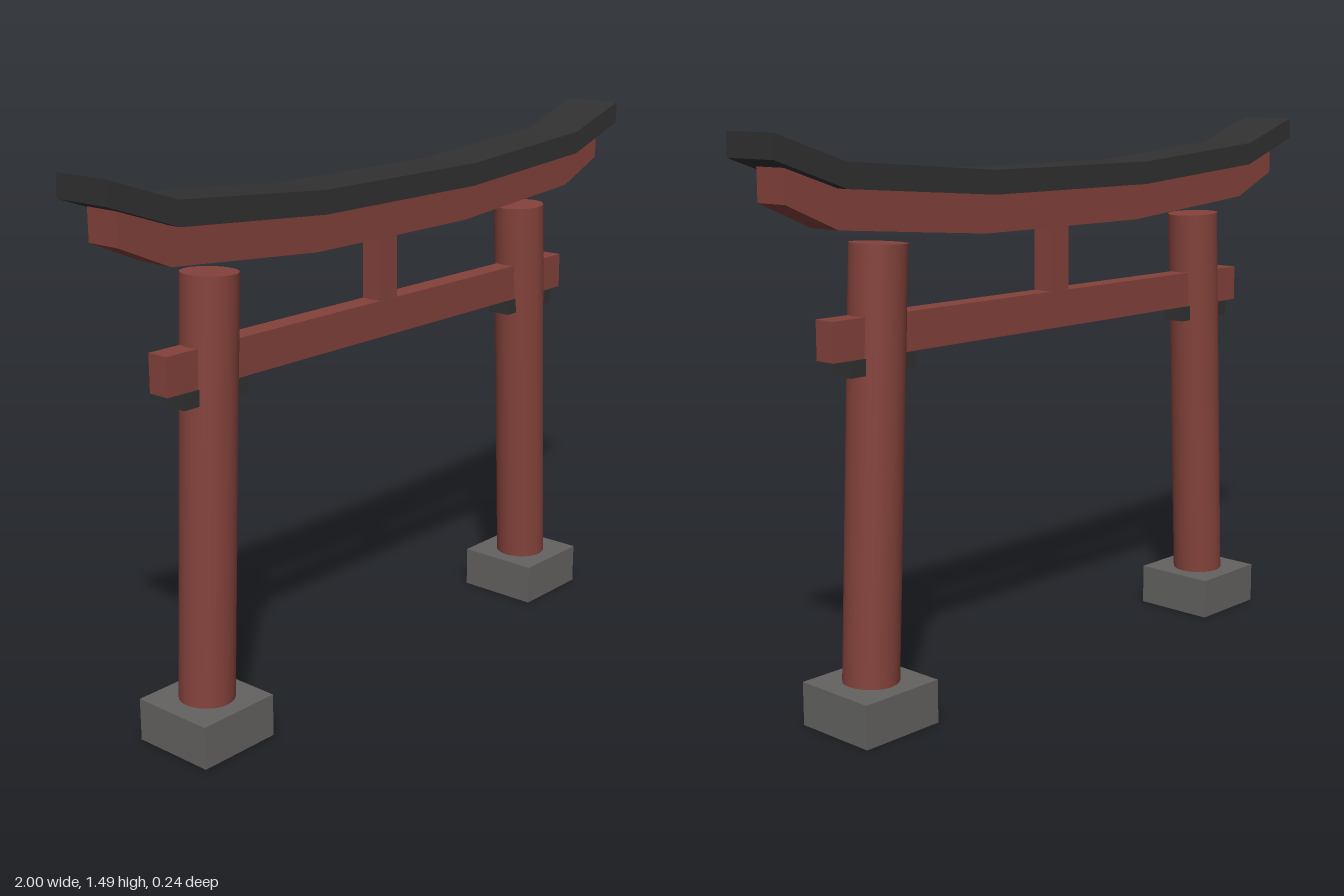
import * as THREE from 'three';

export function createModel() {
  const model = new THREE.Group();
  model.name = 'gate';

  const material = (name, color, side = THREE.FrontSide) =>
    Object.assign(new THREE.MeshStandardMaterial({ color, side }), { name });
  const red = material('red paint', 0x84423b);
  const black = material('black paint', 0x313131);
  const stone = material('grey stone', 0x646361, THREE.DoubleSide);

  const add = (name, geometry, mat, x = 0, y = 0, z = 0) => {
    const mesh = new THREE.Mesh(geometry, mat);
    mesh.name = name;
    mesh.position.set(x, y, z);
    model.add(mesh);
    return mesh;
  };

  // Symmetric upswept beam from right-half outlines, running outwards
  const sweptBeam = (name, bottom, top, depth, mat) => {
    const mirror = ([x, y]) => [-x, y];
    const outline = [
      ...bottom,
      ...[...top].reverse(),
      ...top.map(mirror),
      ...[...bottom].reverse().map(mirror),
    ];
    const shape = new THREE.Shape(outline.map(([x, y]) => new THREE.Vector2(x, y)));
    const geometry = new THREE.ExtrudeGeometry(shape, { depth, bevelEnabled: false });
    geometry.translate(0, 0, -depth / 2);
    return add(name, geometry, mat);
  };

  // Top lintel and the black cap that rests on it
  sweptBeam('upperLintel',
    [[0.3, 1.22], [0.79, 1.26], [0.945, 1.327]],
    [[0.3, 1.32], [0.79, 1.357], [0.945, 1.41]], 0.1, red);
  sweptBeam('lintelCap',
    [[0.3, 1.32], [0.79, 1.357], [1, 1.43]],
    [[0.3, 1.382], [0.79, 1.42], [1, 1.49]], 0.17, black);

  // Straight tie beam and its centre strut
  add('tieBeam', new THREE.BoxGeometry(1.6, 0.1, 0.062), red, 0, 0.995);
  add('centreStrut', new THREE.BoxGeometry(0.07, 0.175, 0.06), red, 0, 1.1325);

  for (const [side, s] of [['left', 1], ['right', -1]]) {
    // Pillar leaning inwards
    const pillar = add(side + 'Pillar',
      new THREE.CylinderGeometry(0.073, 0.073, 1.104, 24), red, s * 0.651, 0.666);
    pillar.rotation.z = s * 0.048;

    // Wedge under the tie beam
    add(side + 'Wedge', new THREE.BoxGeometry(0.215, 0.042, 0.07), black, s * 0.645, 0.924);

    // Footing, hollow and open underneath
    const footing = new THREE.BoxGeometry(0.24, 0.115, 0.24);
    const { start, count } = footing.groups[3];
    const index = Array.from(footing.index.array);
    index.splice(start, count);
    footing.setIndex(index);
    footing.clearGroups();
    add(side + 'Footing', footing, stone, s * 0.68, 0.0575);
  }

  return model;
}
